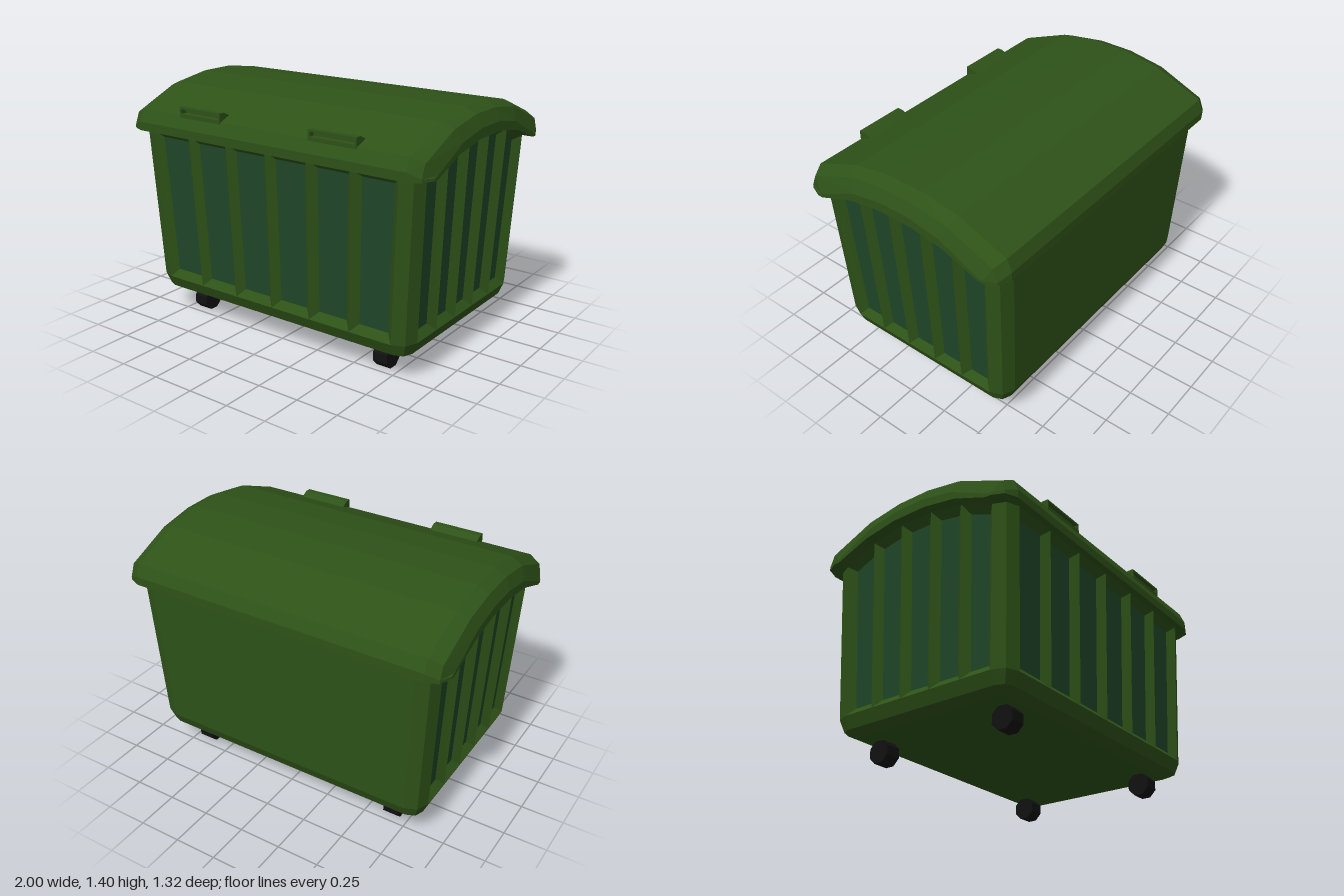
import * as THREE from 'three';

const GREEN = 0x2e5218, PANEL = 0x1f4528, BLACK = 0x111111;
const material = (color) => new THREE.MeshStandardMaterial({ color, flatShading: true });
const V = (x, y, z) => new THREE.Vector3(x, y, z);

// Collects flat quads (corners counter-clockwise seen from outside)
class Quads {
  constructor() { this.points = []; }
  tri(a, b, c) {
    const area = b.clone().sub(a).cross(c.clone().sub(a)).length();
    if (area > 1e-7) this.points.push(a, b, c);
  }
  add(a, b, c, d) { this.tri(a, b, c); this.tri(a, c, d); }
  mesh(name, mat) {
    const g = new THREE.BufferGeometry().setFromPoints(this.points);
    g.computeVertexNormals();
    const m = new THREE.Mesh(g, mat);
    m.name = name;
    return m;
  }
}

// Wall lean: y runs from the foot of the wall to the rim
const Y0 = 0.225, Y1 = 1.13;
const lean = (y, a, b) => a + (b - a) * (y - Y0) / (Y1 - Y0);

// Ring of 12 points: a rectangle with corners rounded in two facets
function ring(y, cx, cz, r) {
  const pts = [], sx = [1, 1, -1, -1], sz = [1, -1, -1, 1];
  for (let k = 0; k < 4; k++) {
    for (let j = 0; j < 3; j++) {
      const a = k * Math.PI / 2 + j * Math.PI / 4;
      pts.push(V(sx[k] * cx + r * Math.sin(a), y, sz[k] * cz + r * Math.cos(a)));
    }
  }
  return pts;
}

// Recessed panel: four sloping borders around a sunken face
function recess(frame, panel, corners, inset = 0.042, depth = 0.04) {
  const dir = (p, q) => q.clone().sub(p).normalize();
  const [a, b, , d] = corners;
  const n = dir(a, b).cross(dir(a, d)).normalize();
  const inner = corners.map((p, i) => p.clone()
    .addScaledVector(dir(p, corners[(i + 1) % 4]), inset)
    .addScaledVector(dir(p, corners[(i + 3) % 4]), inset)
    .addScaledVector(n, -depth));
  for (let i = 0; i < 4; i++) {
    const j = (i + 1) % 4;
    frame.add(corners[i], corners[j], inner[j], inner[i]);
  }
  panel.add(...inner);
}

function createBody(green) {
  const frame = new Quads(), panel = new Quads();
  const rings = [
    ring(0.125, 0.79, 0.49, 0), ring(0.155, 0.79, 0.49, 0.07),
    ring(Y0, 0.79, 0.49, 0.1), ring(Y1, 0.835, 0.52, 0.1),
  ];
  // Rounded foot, corner posts and plain back wall
  for (let l = 0; l < 3; l++) {
    for (let i = 0; i < 12; i++) {
      if (l === 2 && [2, 8, 11].includes(i)) continue;
      const j = (i + 1) % 12;
      frame.add(rings[l][i], rings[l][j], rings[l + 1][j], rings[l + 1][i]);
    }
  }
  frame.add(rings[0][9], rings[0][6], rings[0][3], rings[0][0]);

  // Front: six recessed panels
  const front = (t, y) => V(t * lean(y, 0.79, 0.835), y, lean(y, 0.59, 0.62));
  for (let i = 0; i < 6; i++) {
    const t0 = -1 + i / 3, t1 = t0 + 1 / 3;
    recess(frame, panel, [front(t0, Y0), front(t1, Y0), front(t1, Y1), front(t0, Y1)]);
  }

  // Sides: five recessed panels whose tops follow the arch
  const low = [-0.49, -0.295, -0.097, 0.097, 0.295, 0.49];
  const high = [-0.52, -0.315, -0.107, 0.107, 0.315, 0.52];
  const arch = [Y1, 1.21, 1.245, 1.245, 1.21, Y1];
  for (const s of [1, -1]) {
    const side = (u, y) => V(s * lean(y, 0.89, 0.935), y, -s * u);
    for (let i = 0; i < 5; i++) {
      recess(frame, panel, [side(low[i], Y0), side(low[i + 1], Y0),
        side(high[i + 1], arch[i + 1]), side(high[i], arch[i])]);
    }
  }
  const group = new THREE.Group();
  group.name = 'body';
  group.add(frame.mesh('bodyFrame', green), panel.mesh('recessedPanels', material(PANEL)));
  return group;
}

// Arched lid lofted along x, drawn in towards both rounded ends
function createLid(green) {
  const mirror = (half) => [...half, ...half.slice().reverse().map(([z, y]) => [-z, y])];
  const top = mirror([[0.66, 1.18], [0.63, 1.25], [0.34, 1.365], [0.11, 1.4]]);
  const under = mirror([[0.66, 1.13], [0.53, 1.13], [0.32, 1.21], [0.11, 1.245]]);
  const sections = [[-1, 0.1], [-0.97, 0.03], [-0.9, 0], [0.9, 0], [0.97, 0.03], [1, 0.1]].map(([x, d]) => ({
    top: top.map(([z, y]) => V(x, Math.max(y - d, 1.145), z * (0.66 - d) / 0.66)),
    under: under.map(([z, y]) => V(x, y, Math.sign(z) * Math.min(Math.abs(z), 0.66 - d))),
  }));
  const lid = new Quads();
  for (let k = 0; k < 5; k++) {
    const loop = (s) => [...s.top, ...s.under.slice().reverse()];
    const a = loop(sections[k]), b = loop(sections[k + 1]);
    a.forEach((p, i) => {
      const j = (i + 1) % a.length;
      lid.add(p, b[i], b[j], a[j]);
    });
  }
  // End faces
  const l = sections[0], r = sections[5];
  for (let i = 0; i < 7; i++) {
    lid.add(r.under[i], r.under[i + 1], r.top[i + 1], r.top[i]);
    lid.add(l.under[i + 1], l.under[i], l.top[i], l.top[i + 1]);
  }
  return lid.mesh('lid', green);
}

// Lid grip: open frame at the front with a sloping block behind
function createGrip(x, green) {
  const group = new THREE.Group();
  group.name = 'lidGrip';
  const rect = (P, w, y0, y1) => {
    const p = new P();
    p.moveTo(-w, y0); p.lineTo(w, y0); p.lineTo(w, y1); p.lineTo(-w, y1); p.closePath();
    return p;
  };
  const face = rect(THREE.Shape, 0.15, 1.24, 1.3);
  face.holes.push(rect(THREE.Path, 0.138, 1.262, 1.288));
  const frame = new THREE.Mesh(new THREE.ExtrudeGeometry(face, { depth: 0.035, bevelEnabled: false }), green);
  frame.name = 'gripFrame';
  frame.position.z = 0.6;
  const wedge = new THREE.Shape([[-0.6, 1.24], [-0.55, 1.24], [-0.55, 1.275], [-0.6, 1.3]]
    .map(([a, b]) => new THREE.Vector2(a, b)));
  const back = new THREE.Mesh(new THREE.ExtrudeGeometry(wedge, { depth: 0.3, bevelEnabled: false }), green);
  back.name = 'gripBack';
  back.rotation.y = Math.PI / 2;
  back.position.x = -0.15;
  group.add(frame, back);
  group.position.x = x;
  return group;
}

export function createModel() {
  const model = new THREE.Group();
  model.name = 'wheeledContainer';
  const green = material(GREEN), black = material(BLACK);
  model.add(createBody(green), createLid(green));
  for (const s of [1, -1]) model.add(createGrip(s * 0.45, green));

  // Four octagonal wheels
  const wheel = new THREE.CylinderGeometry(0.069, 0.069, 0.09, 8);
  wheel.rotateY(Math.PI / 8).rotateZ(Math.PI / 2);
  for (const x of [0.655, -0.655]) {
    for (const z of [0.415, -0.415]) {
      const m = new THREE.Mesh(wheel, black);
      m.name = (z > 0 ? 'front' : 'back') + (x > 0 ? 'Left' : 'Right') + 'Wheel';
      m.position.set(x, 0.064, z);
      model.add(m);
    }
  }
  return model;
}
